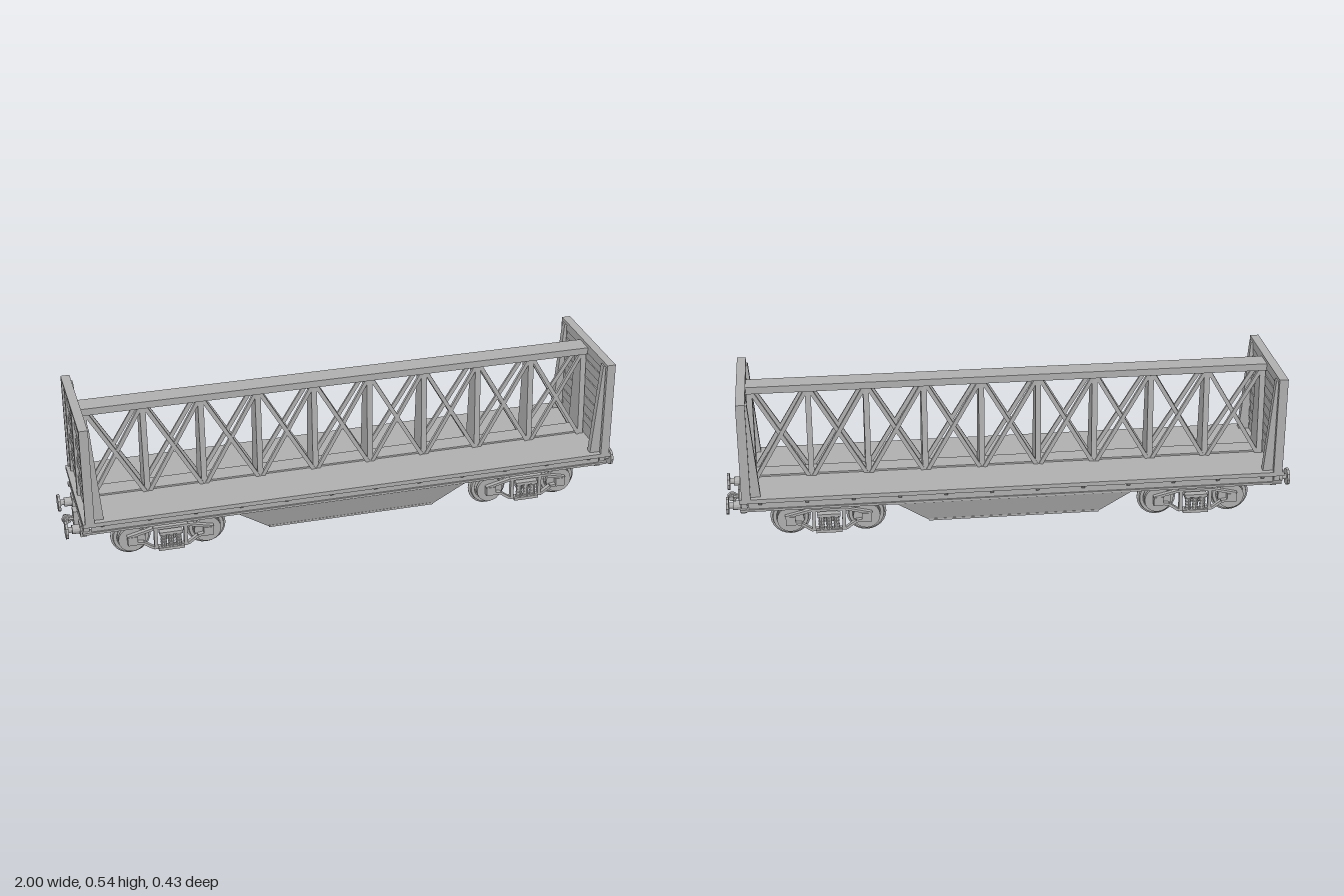
import * as THREE from 'three';

const grey = new THREE.MeshStandardMaterial({ color: 0xb0b0b0, flatShading: true });
grey.name = 'wagon grey';

function add(parent, name, geo) {
  const m = new THREE.Mesh(geo, grey);
  m.name = name;
  parent.add(m);
  return m;
}

// box from its limits on each axis
function box(parent, name, x0, x1, y0, y1, z0, z1) {
  const m = add(parent, name, new THREE.BoxGeometry(Math.abs(x1 - x0), y1 - y0, Math.abs(z1 - z0)));
  m.position.set((x0 + x1) / 2, (y0 + y1) / 2, (z0 + z1) / 2);
  return m;
}

// square bar between two points
function bar(parent, name, a, b, w, d) {
  const A = new THREE.Vector3(...a), B = new THREE.Vector3(...b);
  const m = add(parent, name, new THREE.BoxGeometry(w, d, A.distanceTo(B)));
  m.position.copy(A).add(B).multiplyScalar(0.5);
  m.lookAt(B);
  return m;
}

// cylinder along x or z
function rod(parent, name, axis, r, len, x, y, z, seg = 12) {
  const g = new THREE.CylinderGeometry(r, r, len, seg);
  if (axis === 'x') g.rotateZ(-Math.PI / 2);
  if (axis === 'z') g.rotateX(Math.PI / 2);
  const m = add(parent, name, g);
  m.position.set(x, y, z);
  return m;
}

// closed outline extruded along z, centred on z
function plate(parent, name, pts, depth, z) {
  const g = new THREE.ExtrudeGeometry(new THREE.Shape(pts.map(p => new THREE.Vector2(...p))),
    { depth, bevelEnabled: false });
  const m = add(parent, name, g);
  m.position.z = z - depth / 2;
  return m;
}

// central truss: tapered posts, crossed straps on both faces, top beam
function makeTruss() {
  const t = new THREE.Group();
  t.name = 'centreTruss';
  box(t, 'topBeam', -0.915, 0.915, 0.505, 0.53, -0.037, 0.037);
  box(t, 'bottomBeam', -0.915, 0.915, 0.188, 0.196, -0.035, 0.035);
  for (let i = 0; i < 10; i++) {
    const x = -0.9 + i * 0.2;
    const g = new THREE.BoxGeometry(0.02, 0.32, 0.09);
    const p = g.attributes.position;
    for (let k = 0; k < p.count; k++) if (p.getY(k) > 0) p.setZ(k, p.getZ(k) * 0.6);
    g.computeVertexNormals();
    add(t, 'trussPost', g).position.set(x, 0.348, 0);
    if (i === 9) continue;
    for (const s of [-1, 1]) {
      bar(t, 'crossBrace', [x + 0.008, 0.505, s * 0.026], [x + 0.192, 0.19, s * 0.043], 0.01, 0.014);
      bar(t, 'crossBrace', [x + 0.192, 0.505, s * 0.024], [x + 0.008, 0.19, s * 0.041], 0.01, 0.014);
    }
  }
  return t;
}

// end wall on the +x end
function makeBulkhead() {
  const b = new THREE.Group();
  b.name = 'bulkhead';
  box(b, 'wallPanel', 0.917, 0.926, 0.19, 0.532, -0.2, 0.2);
  box(b, 'topRail', 0.911, 0.942, 0.53, 0.541, -0.215, 0.215);
  box(b, 'centrePost', 0.912, 0.939, 0.19, 0.53, -0.013, 0.013);
  const edges = [0.19, 0.24, 0.27, 0.306, 0.34, 0.378, 0.412, 0.447, 0.48, 0.509, 0.53];
  for (const s of [-1, 1]) {
    box(b, 'cornerPost', 0.911, 0.942, 0.19, 0.53, s * 0.201, s * 0.215);
    box(b, 'sidePost', 0.914, 0.937, 0.19, 0.53, s * 0.166, s * 0.19);
    for (let i = 0; i < 10; i++) {
      const d = i % 2 ? 0.004 : 0;
      box(b, 'plank', 0.915 - d, 0.928 + d, edges[i], edges[i + 1], s * 0.013, s * 0.166);
    }
    // tapered inner stay
    plate(b, 'innerStay', [[0.918, 0.19], [0.918, 0.53], [0.905, 0.53], [0.877, 0.19]], 0.024, s * 0.183);
  }
  return b;
}

// wheel with flange towards the middle (local +z is outward)
function makeWheelset() {
  const w = new THREE.Group();
  w.name = 'wheelset';
  rod(w, 'axle', 'z', 0.015, 0.3, 0, 0, 0);
  const profile = [[0, -0.006], [0.02, -0.009], [0.048, -0.004], [0.05, -0.01], [0.064, -0.01], [0.07, -0.006],
    [0.07, -0.003], [0.063, 0.001], [0.061, 0.009], [0.05, 0.009], [0.047, 0.003], [0.02, 0.005], [0, 0.008]]
    .map(p => new THREE.Vector2(...p));
  for (const s of [-1, 1]) {
    const g = new THREE.LatheGeometry(profile, 24);
    g.rotateX(s * Math.PI / 2);
    add(w, 'wheel', g).position.z = s * 0.115;
    rod(w, 'wheelCover', 'z', 0.047, 0.013, 0, 0, s * 0.14, 20);
    rod(w, 'hub', 'z', 0.022, 0.02, 0, 0, s * 0.128);
    box(w, 'axleBox', -0.017, 0.017, -0.014, 0.018, s * 0.143, s * 0.166);
  }
  return w;
}

// bogie with arch-bar side frames and coil springs
function makeBogie() {
  const b = new THREE.Group();
  b.name = 'bogie';
  for (const x of [-0.132, 0.132]) {
    const w = makeWheelset();
    w.position.set(x, 0.07, 0);
    b.add(w);
  }
  box(b, 'bolster', -0.03, 0.03, 0.06, 0.095, -0.155, 0.155);
  rod(b, 'pivot', 'y', 0.035, 0.08, 0, 0.125, 0, 16);
  for (const s of [-1, 1]) {
    const z = s * 0.156;
    const upper = [[-0.15, 0.086], [-0.06, 0.108], [0.06, 0.108], [0.15, 0.086]];
    const lower = [[-0.14, 0.064], [-0.095, 0.058], [-0.06, 0.033], [0.06, 0.033], [0.095, 0.058], [0.14, 0.064]];
    for (const [name, path] of [['upperFrameBar', upper], ['lowerFrameBar', lower]]) {
      for (let i = 0; i + 1 < path.length; i++)
        bar(b, name, [...path[i], z], [...path[i + 1], z], 0.016, 0.009);
    }
    for (const x of [-0.052, 0.052]) box(b, 'frameColumn', x - 0.006, x + 0.006, 0.03, 0.11, z - 0.008, z + 0.008);
    for (const x of [-0.026, 0, 0.026]) {
      rod(b, 'spring', 'y', 0.009, 0.05, x, 0.06, s * 0.163, 10);
      for (const y of [0.042, 0.054, 0.066, 0.078]) rod(b, 'springCoil', 'y', 0.011, 0.005, x, y, s * 0.163, 10);
    }
    box(b, 'springSeat', -0.045, 0.045, 0.025, 0.036, s * 0.151, s * 0.174);
    box(b, 'springCap', -0.04, 0.04, 0.085, 0.096, s * 0.151, s * 0.174);
  }
  return b;
}

// buffers and coupling on the +x end
function makeEndGear() {
  const e = new THREE.Group();
  e.name = 'endGear';
  box(e, 'headstock', 0.925, 0.945, 0.13, 0.17, -0.175, 0.175);
  for (const s of [-1, 1]) {
    const z = 0.006 + s * 0.097;
    box(e, 'bufferBase', 0.93, 0.951, 0.09, 0.135, z - 0.022, z + 0.022);
    rod(e, 'bufferSleeve', 'x', 0.016, 0.03, 0.962, 0.112, z);
    rod(e, 'bufferShaft', 'x', 0.01, 0.04, 0.975, 0.112, z);
    rod(e, 'bufferHead', 'x', 0.031, 0.009, 0.9955, 0.112, z, 10);
  }
  box(e, 'couplerPocket', 0.9, 0.96, 0.07, 0.135, -0.014, 0.026);
  rod(e, 'couplerShank', 'x', 0.009, 0.04, 0.97, 0.1, 0.006, 8);
  const hook = add(e, 'couplerHook', new THREE.TorusGeometry(0.013, 0.006, 6, 12));
  hook.position.set(0.981, 0.1, 0.006);
  rod(e, 'couplerPin', 'z', 0.009, 0.042, 0.985, 0.1, 0.006, 8);
  return e;
}

// deck, sills, cross members and deep side girders
function makeUnderframe() {
  const u = new THREE.Group();
  u.name = 'underframe';
  box(u, 'deck', -0.95, 0.95, 0.175, 0.19, -0.215, 0.215);
  box(u, 'deckBearer', -0.93, 0.93, 0.167, 0.176, -0.05, 0.05);
  for (const s of [-1, 1]) {
    box(u, 'centreSill', -0.93, 0.93, 0.13, 0.17, s * 0.03, s * 0.042);
    box(u, 'sillWeb', -0.92, 0.92, 0.132, 0.176, s * 0.174, s * 0.18);
    box(u, 'sillTopFlange', -0.92, 0.92, 0.166, 0.176, s * 0.165, s * 0.186);
    box(u, 'sillBottomFlange', -0.95, 0.95, 0.13, 0.138, s * 0.16, s * 0.186);
    // girder plate leaning inward towards the bottom
    const m = plate(u, 'sideGirder', [[-0.42, 0.135], [-0.3, 0.05], [0.3, 0.05], [0.42, 0.135]], 0.006, 0);
    const p = m.geometry.attributes.position;
    for (let k = 0; k < p.count; k++) p.setZ(k, p.getZ(k) + s * (0.181 - (0.135 - p.getY(k)) * 0.29));
    m.geometry.computeVertexNormals();
    box(u, 'girderFlange', -0.3, 0.3, 0.048, 0.055, s * 0.145, s * 0.162);
    // edge brackets under the deck
    for (let i = 0; i < 12; i++) {
      const x = -0.88 + i * 0.16;
      const g = new THREE.ExtrudeGeometry(new THREE.Shape([[0.178, 0.176], [0.202, 0.176], [0.178, 0.15]]
        .map(q => new THREE.Vector2(...q))), { depth: 0.012, bevelEnabled: false });
      const k = add(u, 'edgeBracket', g);
      k.rotation.y = -s * Math.PI / 2;
      k.position.x = x + s * 0.006;
    }
  }
  for (const x of [-0.65, -0.4, -0.2, 0, 0.2, 0.4, 0.65])
    box(u, 'crossMember', x - 0.012, x + 0.012, 0.14, 0.176, -0.175, 0.175);
  return u;
}

export function createModel() {
  const model = new THREE.Group();
  model.name = 'centreTrussWagon';
  model.add(makeUnderframe(), makeTruss());
  for (const s of [-1, 1]) {
    const end = new THREE.Group();
    end.name = s > 0 ? 'leftEnd' : 'rightEnd';
    end.add(makeBulkhead(), makeEndGear());
    if (s < 0) {
      end.rotation.y = Math.PI;
      end.children[1].position.z = -0.012;
      end.children[1].getObjectByName('headstock').position.z = 0.012;
    }
    const bogie = makeBogie();
    bogie.position.set(s * 0.648, 0, 0.006);
    model.add(end, bogie);
  }
  return model;
}
